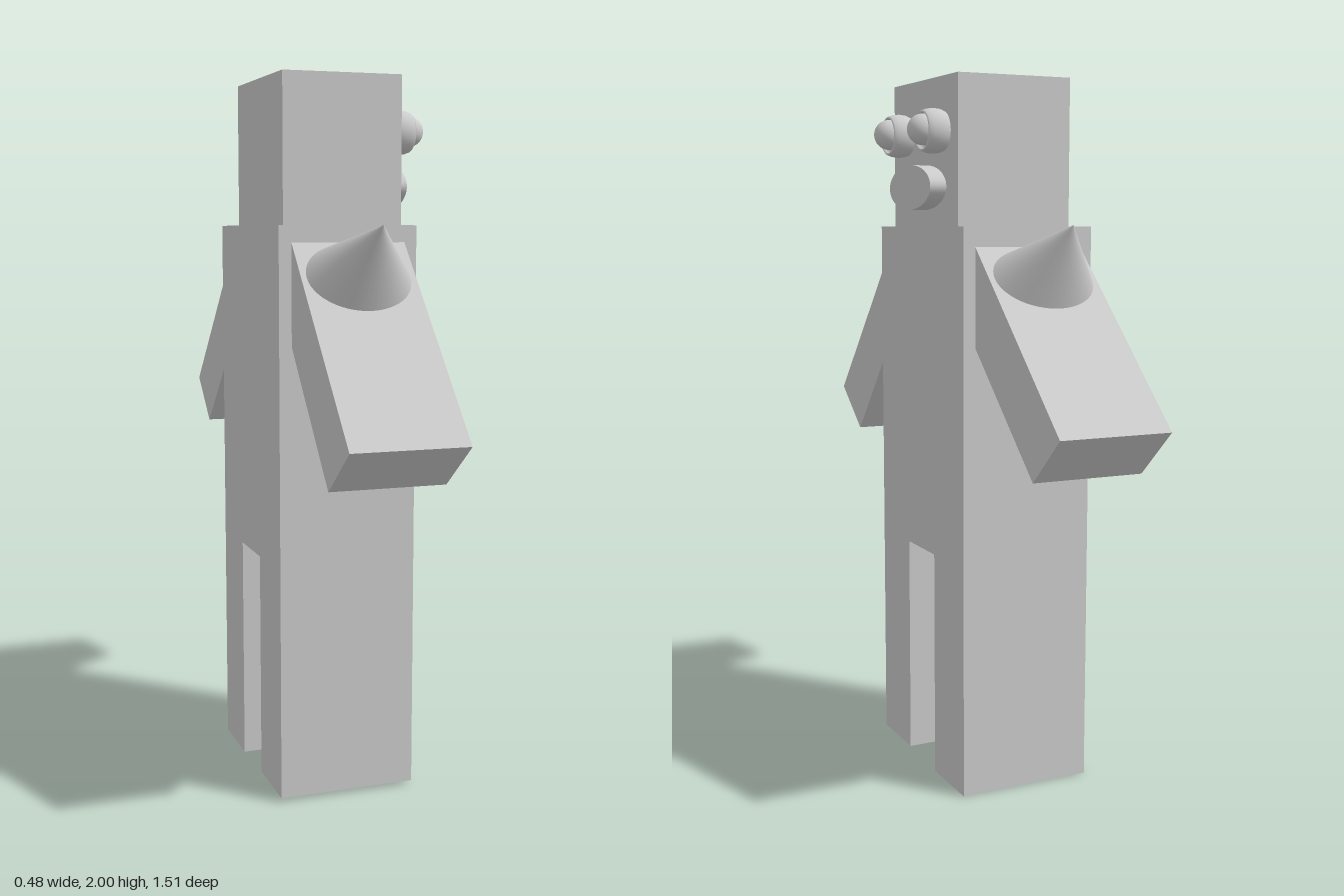
import * as THREE from 'three';

const material = new THREE.MeshStandardMaterial({ color: 0xcccccc });

export function createModel() {
  const model = new THREE.Group();

  const add = (name, geometry) => {
    const mesh = new THREE.Mesh(geometry, material);
    mesh.name = name;
    model.add(mesh);
    return mesh;
  };

  // Box given by its limits on each axis
  const box = (name, [x0, x1], [y0, y1], [z0, z1]) =>
    add(name, new THREE.BoxGeometry(x1 - x0, y1 - y0, z1 - z0))
      .position.set((x0 + x1) / 2, (y0 + y1) / 2, (z0 + z1) / 2);

  // Body blocks
  box('torso', [-0.24, 0.15], [0.66, 1.595], [-0.28, 0.305]);
  box('head', [-0.205, 0.135], [1.595, 2], [-0.215, 0.23]);
  box('nearLeg', [-0.24, 0.15], [0.015, 0.66], [0.105, 0.305]);
  box('farLeg', [-0.24, 0.15], [0.005, 0.66], [-0.28, -0.08]);

  // Arms: slanted outline in z and y, extruded across x
  const arm = (name, outline) => {
    const shape = new THREE.Shape(outline.map(([z, y]) => new THREE.Vector2(z, y)));
    const geometry = new THREE.ExtrudeGeometry(shape, { depth: 0.32, bevelEnabled: false });
    geometry.rotateY(-Math.PI / 2).translate(0.115, 0, 0);
    add(name, geometry);
  };
  arm('nearArm', [[0.757, 1.058], [0.3, 1.555], [0.28, 1.302], [0.603, 0.937]]);
  arm('farArm', [[-0.751, 1.085], [-0.614, 0.958], [-0.26, 1.289], [-0.275, 1.545]]);

  // Shoulder spikes: oval cones from a base centre to a tip (y, z)
  const spike = (name, base, tip, edge) => {
    const geometry = new THREE.ConeGeometry(1, 1, 48).translate(0, 0.5, 0);
    const matrix = new THREE.Matrix4().makeBasis(
      new THREE.Vector3(0.145, 0, 0),
      new THREE.Vector3(0, tip[0] - base[0], tip[1] - base[1]),
      new THREE.Vector3(0, edge[0] - base[0], edge[1] - base[1])
    ).setPosition(-0.045, base[0], base[1]);
    add(name, geometry.applyMatrix4(matrix));
  };
  spike('nearSpike', [1.461, 0.386], [1.595, 0.56], [1.376, 0.466]);
  spike('farSpike', [1.458, -0.368], [1.598, -0.524], [1.534, -0.286]);

  // Eyes: a rounded hollow socket with a ball inside
  const socketProfile = [
    [0.054, 0], [0.059, 0.012], [0.061, 0.03], [0.059, 0.048],
    [0.055, 0.06], [0.051, 0.064], [0.047, 0.06], [0.044, 0.045], [0, 0.045]
  ].map(([r, h]) => new THREE.Vector2(r, h));
  for (const [side, z] of [['near', 0.13], ['far', -0.114]]) {
    const socket = add(side + 'EyeSocket', new THREE.LatheGeometry(socketProfile, 40));
    socket.rotation.z = -Math.PI / 2;
    socket.position.set(0.135, 1.852, z);
    const ball = add(side + 'Eyeball', new THREE.SphereGeometry(0.042, 32, 20));
    ball.position.set(0.195, 1.855, z);
  }

  // Mouth: oval disc on the face
  const mouth = new THREE.CylinderGeometry(1, 1, 0.06, 64).rotateZ(-Math.PI / 2);
  mouth.scale(1, 0.062, 0.146);
  add('mouth', mouth).position.set(0.153, 1.703, 0.008);

  return model;
}
